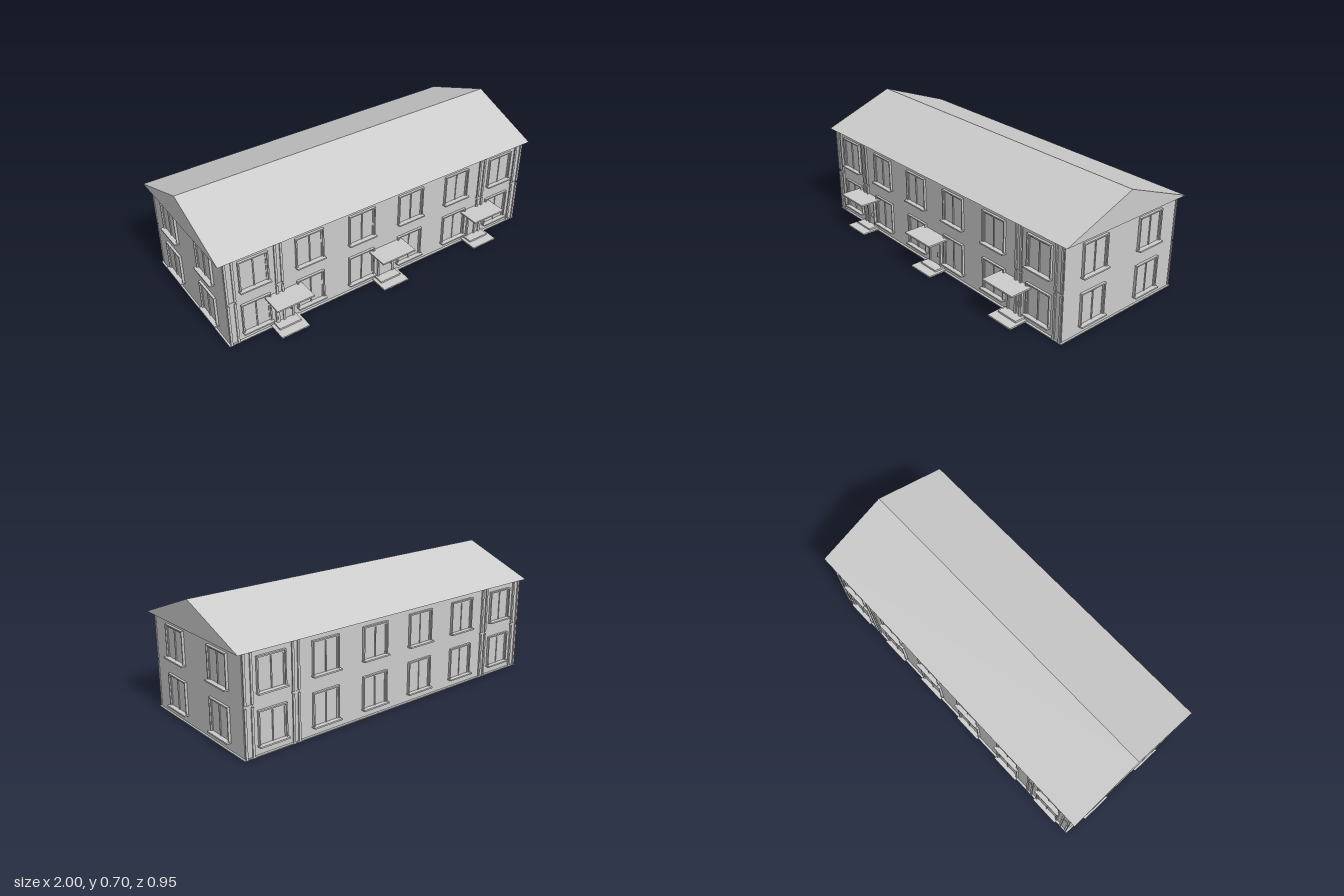
import * as THREE from 'three';

const plaster = new THREE.MeshStandardMaterial({ color: 0xcccccc });
plaster.name = 'light grey';

const CZ = -0.047;      // depth centre of the house
const HALF_W = 0.965;   // wall half width
const HALF_D = 0.398;   // wall half depth
const EAVE = 0.535;

// Box given by its limits on each axis
function block(parent, name, x0, x1, y0, y1, z0, z1) {
  const mesh = new THREE.Mesh(new THREE.BoxGeometry(x1 - x0, y1 - y0, z1 - z0), plaster);
  mesh.position.set((x0 + x1) / 2, (y0 + y1) / 2, (z0 + z1) / 2);
  mesh.name = name;
  parent.add(mesh);
  return mesh;
}

// Double casement window with a sill; the wall surface is local z = 0
function makeWindow(x, y, w) {
  const g = new THREE.Group();
  g.name = 'window';
  const h = 0.178, t = 0.007, a = w / 2;
  block(g, 'glass', -a + t, a - t, 0, h - t, -0.002, 0.002);
  for (const s of [-1, 1]) {
    const c = s * (a - t / 2);
    block(g, 'frameSide', c - t / 2, c + t / 2, 0, h, 0, 0.013);
    const m = s * (a - t * 1.5);
    block(g, 'casementSide', m - t / 2, m + t / 2, 0, h - t, 0, 0.006);
  }
  block(g, 'frameTop', -a + t, a - t, h - t, h, 0, 0.013);
  block(g, 'casementTop', -a + t * 2, a - t * 2, h - t * 2, h - t, 0, 0.006);
  block(g, 'mullion', -0.003, 0.003, 0, h - t * 2, 0, 0.007);
  block(g, 'sill', -a - 0.004, a + 0.004, -0.007, 0.001, 0, 0.028);
  g.position.set(x, y, 0);
  return g;
}

// Pair of slim vertical strips, interrupted between the floors
function makeStrips(parent, inner, outer) {
  for (const x of [inner, outer]) {
    block(parent, 'upperStrip', x - 0.006, x + 0.006, 0.275, EAVE, 0.007, 0.014);
    block(parent, 'lowerStrip', x - 0.006, x + 0.006, 0, 0.26, 0.007, 0.014);
  }
  const lo = Math.min(inner, outer), hi = Math.max(inner, outer);
  block(parent, 'stripBacking', lo, hi, 0.005, EAVE, -0.002, 0.004);
  block(parent, 'stripJoint', lo - 0.006, hi + 0.006, 0.264, 0.271, 0, 0.006);
}

function makeFacade(name, centres, width) {
  const g = new THREE.Group();
  g.name = name;
  for (const x of centres) for (const y of [0.053, 0.322]) g.add(makeWindow(x, y, width));
  return g;
}

// Door with frame, handle, canopy and two steps
function makeEntrance(x) {
  const g = new THREE.Group();
  g.name = 'entrance';
  block(g, 'doorLeaf', -0.044, 0.044, 0.02, 0.178, 0, 0.006);
  for (const s of [-1, 1]) {
    block(g, 'doorJamb', s * 0.048 - 0.005, s * 0.048 + 0.005, 0.01, 0.187, 0, 0.012);
  }
  block(g, 'doorHead', -0.043, 0.043, 0.178, 0.187, 0, 0.012);
  block(g, 'doorHandle', 0.031, 0.037, 0.075, 0.1, 0.006, 0.018);
  block(g, 'canopy', -0.108, 0.108, 0.202, 0.211, 0, 0.128);
  block(g, 'lowerStep', -0.083, 0.083, 0.002, 0.01, 0, 0.113);
  block(g, 'upperStep', -0.065, 0.065, 0.01, 0.02, 0, 0.06);
  g.position.x = x;
  return g;
}

export function createModel() {
  const model = new THREE.Group();
  model.name = 'house';

  block(model, 'walls', -HALF_W, HALF_W, 0.002, EAVE, CZ - HALF_D, CZ + HALF_D);
  block(model, 'plinth', -0.975, 0.975, 0, 0.005, CZ - 0.411, CZ + 0.411);

  // Gable roof prism running along x
  const gable = new THREE.Shape([
    new THREE.Vector2(-0.428, 0), new THREE.Vector2(0.428, 0), new THREE.Vector2(0, 0.163),
  ]);
  const roofGeo = new THREE.ExtrudeGeometry(gable, { depth: 2, bevelEnabled: false });
  roofGeo.translate(0, 0, -1).rotateY(Math.PI / 2);
  const roof = new THREE.Mesh(roofGeo, plaster);
  roof.name = 'roof';
  roof.position.set(0, EAVE, CZ);
  model.add(roof);

  // Long facades
  const longWindows = [-0.805, -0.483, -0.161, 0.161, 0.483, 0.805];
  for (const s of [1, -1]) {
    const facade = makeFacade(s > 0 ? 'frontFacade' : 'backFacade', longWindows, 0.165);
    for (const m of [-1, 1]) {
      makeStrips(facade, m * 0.92, m * 0.96);
      makeStrips(facade, m * 0.652, m * 0.685);
    }
    if (s > 0) for (const x of [-0.645, 0, 0.645]) facade.add(makeEntrance(x));
    facade.position.z = CZ + s * HALF_D;
    facade.rotation.y = s > 0 ? 0 : Math.PI;
    model.add(facade);
  }

  // Gable-end facades
  for (const s of [1, -1]) {
    const facade = makeFacade(s > 0 ? 'leftFacade' : 'rightFacade', [-0.199, 0.199], 0.169);
    facade.position.set(s * HALF_W, 0, CZ);
    facade.rotation.y = s * Math.PI / 2;
    model.add(facade);
  }
  return model;
}
